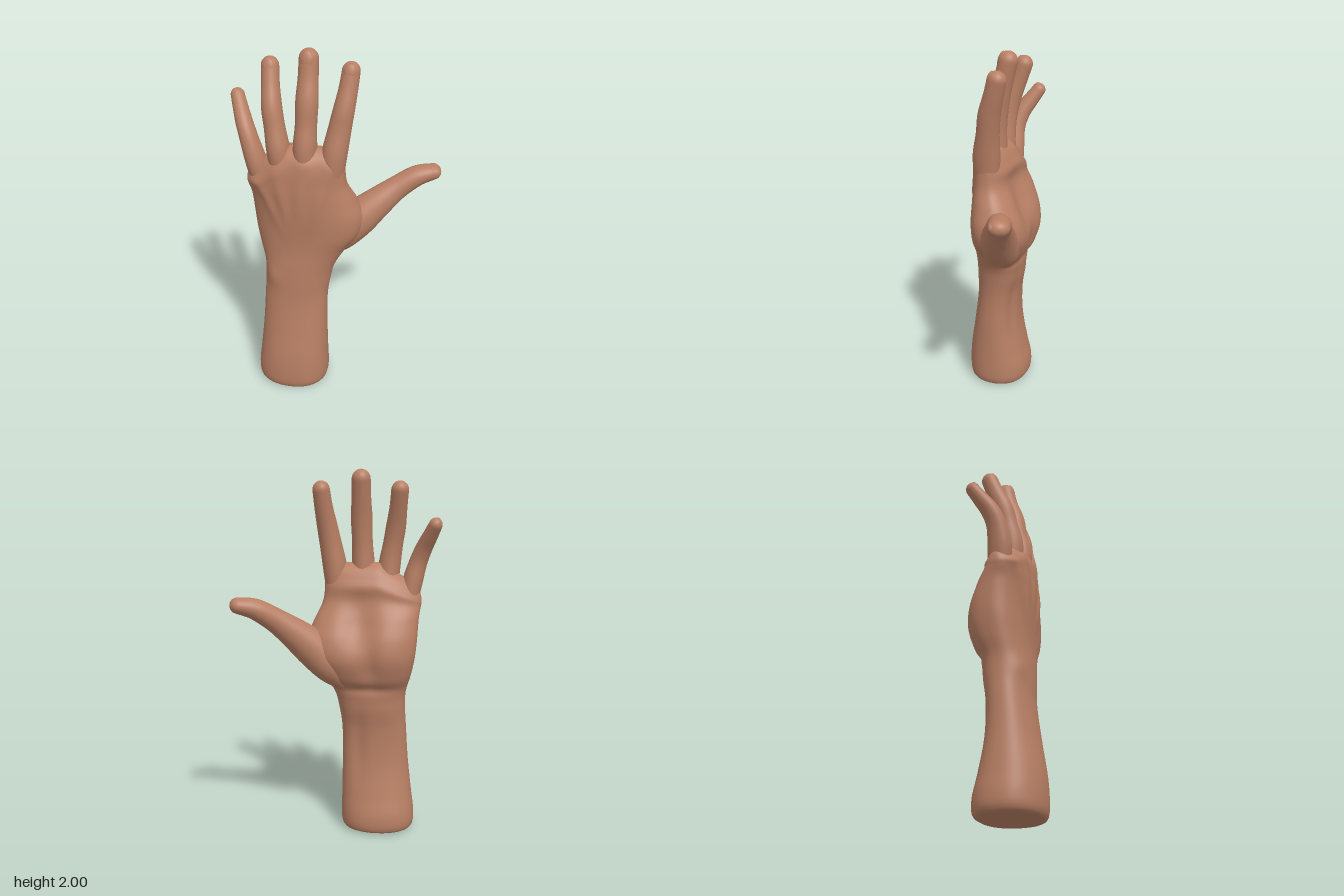
import * as THREE from 'three';

const skin = new THREE.MeshStandardMaterial({ color: 0xb87f64 });
skin.name = 'skin';

// Smooth curve through rows of numbers, keyed by ascending parameters
function smooth(keys, rows) {
  const curve = new THREE.CubicInterpolant(keys, rows.flat(), rows[0].length);
  return (t) => Array.from(curve.evaluate(t));
}

// Skin over a stack of closed rings; point(i, angle) gives a Vector3
function loft(name, rings, sides, point) {
  const pos = [], index = [];
  for (let i = 0; i < rings; i++) {
    for (let j = 0; j < sides; j++) {
      pos.push(...point(i, (j / sides) * Math.PI * 2).toArray());
      if (i === rings - 1) continue;
      const k = (j + 1) % sides, a = i * sides + j, b = i * sides + k;
      index.push(a, a + sides, b, b, a + sides, b + sides);
    }
  }
  const geo = new THREE.BufferGeometry();
  geo.setAttribute('position', new THREE.Float32BufferAttribute(pos, 3));
  geo.setIndex(index);
  geo.computeVertexNormals();
  const mesh = new THREE.Mesh(geo, skin);
  mesh.name = name;
  return mesh;
}

const bell = (d, width) => Math.exp(-(d * d) / (width * width));
const power = (v, p) => Math.sign(v) * Math.abs(v) ** p;

// Knuckle x positions, from little finger to index finger
const knuckles = [[-0.385, 1.36], [-0.275, 1.42], [-0.135, 1.44], [0.02, 1.42]];

// Raised and hollow areas on the back of the hand (front) and the palm (rear)
function relief(x, y, front) {
  if (front) {
    let d = 0.012 * bell(x + 0.32, 0.05) * bell(y - 0.74, 0.06);
    for (const [kx, ky] of knuckles) {
      const t = (y - 0.85) / (ky - 0.85);
      const tendonX = THREE.MathUtils.lerp(-0.17, kx, t);
      d += 0.010 * bell(x - tendonX, 0.026) * bell(y - 1.2, 0.17);
      d += 0.010 * bell(x - kx, 0.05) * bell(y - ky, 0.05);
    }
    return d - 0.006;
  }
  return 0.045 * bell(x + 0.12, 0.09) * bell(y - 1.17, 0.15)   // hollow of the palm
    + 0.022 * bell(x + 0.18, 0.05) * bell(y - 0.96, 0.1)       // groove between the pads
    + 0.015 * bell(x + 0.15, 0.2) * bell(y - 0.83, 0.025)      // wrist crease
    + 0.012 * bell(x + 0.12, 0.04) * bell(y - 0.5, 0.2)        // forearm hollow
    - 0.014 * bell(x + 0.15, 0.25) * bell(y - 1.38, 0.04);     // pads below the fingers
}

// Forearm, wrist and palm as one skin
function buildArm() {
  // y, left edge, right edge, front z, rear z, edge z, squareness
  const sections = [
    [0.00, -0.430, -0.020, 0.250, -0.108, 0.07, 0.88],
    [0.10, -0.428, -0.018, 0.253, -0.105, 0.07, 0.88],
    [0.20, -0.415, -0.020, 0.247, -0.083, 0.07, 0.88],
    [0.40, -0.392, -0.022, 0.215, -0.050, 0.07, 0.88],
    [0.60, -0.378, -0.020, 0.188, -0.052, 0.06, 0.88],
    [0.70, -0.372, -0.006, 0.184, -0.070, 0.05, 0.88],
    [0.80, -0.374, 0.020, 0.178, -0.083, 0.04, 0.85],
    [0.90, -0.400, 0.080, 0.170, -0.125, 0.01, 0.80],
    [1.00, -0.420, 0.150, 0.170, -0.155, 0.00, 0.78],
    [1.10, -0.430, 0.165, 0.174, -0.145, 0.00, 0.80],
    [1.20, -0.436, 0.130, 0.178, -0.105, 0.02, 0.84],
    [1.30, -0.446, 0.085, 0.178, -0.055, 0.05, 0.84],
    [1.40, -0.450, 0.075, 0.168, -0.030, 0.06, 0.84],
    [1.47, -0.440, 0.075, 0.138, -0.002, 0.06, 0.90],
    [1.50, -0.420, 0.060, 0.105, 0.030, 0.06, 0.95],
  ];
  const at = smooth(sections.map((s) => s[0]), sections.map((s) => s.slice(1)));
  // Ring heights with a scale that closes both ends
  const rings = [[0, 0], [0, 0.5], [0.002, 0.86], [0.009, 0.93], [0.022, 0.975], [0.042, 0.995]];
  for (let i = 0; i <= 96; i++) rings.push([0.06 + (1.44 * i) / 96, 1]);
  rings.push([1.507, 0.6], [1.508, 0]);

  return loft('forearmAndPalm', rings.length, 96, (i, a) => {
    const [y, s] = rings[i];
    const [xl, xr, zf, zr, zm, p] = at(y);
    const sin = Math.sin(a);
    const x = (xl + xr) / 2 + s * ((xr - xl) / 2) * power(Math.cos(a), p);
    const depth = sin > 0 ? zf - zm : zm - zr;
    const z = zm + s * (depth * power(sin, p) + relief(x, y, sin > 0) * Math.min(1, Math.abs(sin) * 1.5));
    // The knuckle line falls away toward the little finger
    const drop = THREE.MathUtils.smoothstep(y, 1.2, 1.5) * 0.11 * Math.max(0, (-0.22 - x) / 0.2);
    return new THREE.Vector3(x, y - drop, z);
  });
}

// Finger from rows of x, y, z, half width, half depth, with a rounded tip and a nail
function buildFinger(name, rows, back) {
  const last = rows.length - 1, body = 36, dome = 10, eps = 0.02;
  const at = smooth(rows.map((_, i) => i), rows);
  const centre = (t) => new THREE.Vector3(...at(t));
  const frame = (t) => {
    const T = centre(Math.min(last, t + eps)).sub(centre(Math.max(0, t - eps))).normalize();
    const U = back.clone().addScaledVector(T, -back.dot(T)).normalize();
    return { T, U, S: T.clone().cross(U) };
  };
  const group = new THREE.Group();
  group.name = name;
  group.add(loft(name + 'Flesh', body + dome + 1, 32, (i, a) => {
    const t = Math.min(1, i / body) * last;
    const angle = (Math.max(0, i - body) / dome) * Math.PI / 2;
    const { T, U, S } = frame(t);
    const [, , , rs, ru] = at(t);
    return centre(t)
      .addScaledVector(T, rs * 1.05 * Math.sin(angle))
      .addScaledVector(S, rs * Math.cos(angle) * Math.cos(a))
      .addScaledVector(U, ru * Math.cos(angle) * Math.sin(a));
  }));

  // Nail: a flattened dome set into the back of the tip
  const { T, U, S } = frame(last);
  const [, , , rs, ru] = at(last);
  const nail = new THREE.Mesh(new THREE.SphereGeometry(1, 20, 12), skin);
  nail.name = name + 'Nail';
  nail.scale.set(rs * 0.68, rs * 0.95, ru * 0.36);
  nail.quaternion.setFromRotationMatrix(new THREE.Matrix4().makeBasis(S, T, U));
  nail.position.copy(centre(last)).addScaledVector(U, ru * 0.66).addScaledVector(T, -rs * 0.1);
  group.add(nail);
  return group;
}

export function createModel() {
  const hand = new THREE.Group();
  hand.name = 'hand';
  hand.add(buildArm());

  const front = new THREE.Vector3(0, 0, 1);
  hand.add(buildFinger('littleFinger', [
    [-0.375, 1.28, 0.060, 0.050, 0.060],
    [-0.398, 1.40, 0.070, 0.055, 0.066],
    [-0.428, 1.51, 0.065, 0.049, 0.056],
    [-0.458, 1.59, 0.040, 0.045, 0.050],
    [-0.490, 1.66, -0.005, 0.040, 0.043],
    [-0.513, 1.712, -0.040, 0.036, 0.038],
  ], front));
  hand.add(buildFinger('ringFinger', [
    [-0.262, 1.34, 0.070, 0.055, 0.070],
    [-0.272, 1.48, 0.082, 0.060, 0.072],
    [-0.290, 1.60, 0.070, 0.054, 0.060],
    [-0.306, 1.70, 0.052, 0.053, 0.058],
    [-0.318, 1.80, 0.015, 0.047, 0.050],
    [-0.326, 1.89, -0.018, 0.046, 0.046],
  ], front));
  hand.add(buildFinger('middleFinger', [
    [-0.133, 1.36, 0.075, 0.058, 0.072],
    [-0.130, 1.50, 0.080, 0.062, 0.074],
    [-0.126, 1.62, 0.066, 0.056, 0.062],
    [-0.123, 1.74, 0.050, 0.058, 0.060],
    [-0.122, 1.85, 0.020, 0.052, 0.052],
    [-0.122, 1.945, -0.002, 0.050, 0.052],
  ], front));
  hand.add(buildFinger('indexFinger', [
    [0.008, 1.33, 0.065, 0.058, 0.068],
    [0.020, 1.47, 0.062, 0.066, 0.074],
    [0.042, 1.60, 0.045, 0.060, 0.062],
    [0.060, 1.70, 0.030, 0.055, 0.060],
    [0.076, 1.80, 0.002, 0.049, 0.053],
    [0.086, 1.89, -0.022, 0.046, 0.050],
  ], front));
  hand.add(buildFinger('thumb', [
    [-0.050, 0.86, -0.020, 0.060, 0.060],
    [0.030, 0.945, -0.030, 0.095, 0.098],
    [0.125, 1.045, -0.048, 0.103, 0.098],
    [0.225, 1.135, -0.085, 0.085, 0.080],
    [0.320, 1.212, -0.127, 0.066, 0.063],
    [0.420, 1.276, -0.168, 0.056, 0.062],
    [0.505, 1.298, -0.198, 0.043, 0.055],
  ], front));
  return hand;
}
